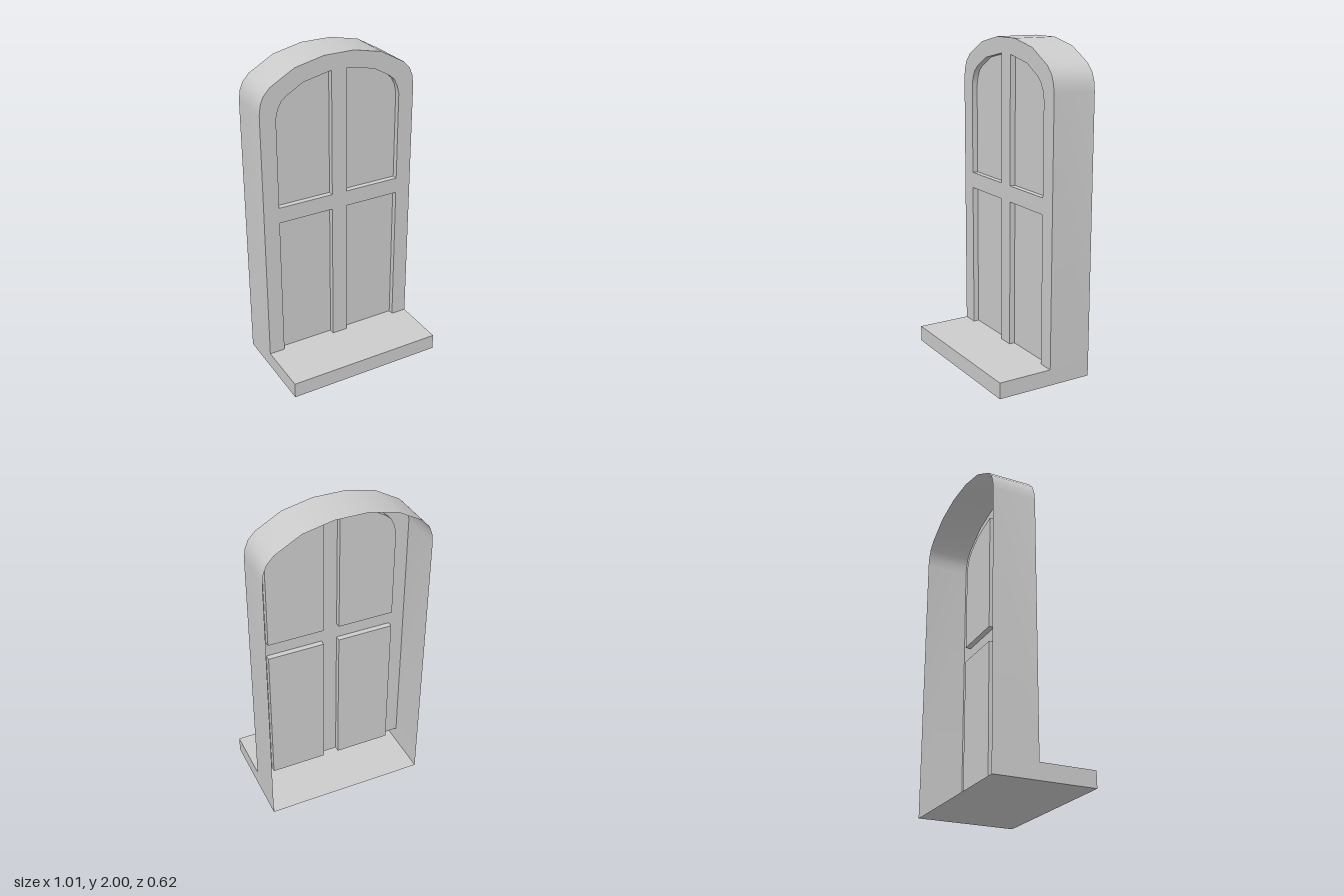
import * as THREE from 'three';
import { toCreasedNormals } from 'three/addons/utils/BufferGeometryUtils.js';

const W = 0.505;       // half width
const SILL = 0.1;      // sill height
const BACK = -0.31, FACE = -0.035, PANE = -0.07, FRONT = 0.31;

const material = new THREE.MeshStandardMaterial({ color: 0xcccccc, side: THREE.DoubleSide });

function part(name, geometry, parent) {
  const mesh = new THREE.Mesh(geometry, material);
  mesh.name = name;
  parent.add(mesh);
  return mesh;
}

const toVectors = (points) => points.map(([x, y]) => new THREE.Vector2(x, y));

// Thin wall: a path in x/y swept from z0 to z1, smooth along gentle bends
function band(points, z0, z1) {
  const position = [], index = [];
  points.forEach(([x, y], i) => {
    position.push(x, y, z0, x, y, z1);
    if (i) {
      const a = 2 * (i - 1);
      index.push(a, a + 2, a + 3, a, a + 3, a + 1);
    }
  });
  const geometry = new THREE.BufferGeometry();
  geometry.setAttribute('position', new THREE.Float32BufferAttribute(position, 3));
  geometry.setIndex(index);
  return toCreasedNormals(geometry, 0.65);
}

// Flat sheet with an outline and optional holes at depth z
function sheet(points, z, holes = []) {
  const shape = new THREE.Shape(toVectors(points));
  holes.forEach((hole) => shape.holes.push(new THREE.Path(toVectors(hole))));
  return new THREE.ShapeGeometry(shape).translate(0, 0, z);
}

const mirror = (points) => points.map(([x, y]) => [-x, y]).reverse();

export function createModel() {
  const model = new THREE.Group();
  model.name = 'archedWindow';

  // Half outlines on the +x side
  const arch = [[W, 1.72], [0.497, 1.78], [0.477, 1.828], [0.435, 1.873], [0.28, 1.96], [0.097, 2]];
  const upper = [[0.05, 1.12], [0.405, 1.12], [0.405, 1.68], [0.393, 1.732],
    [0.37, 1.777], [0.335, 1.807], [0.23, 1.867], [0.05, 1.905]];
  const lower = [[0.05, SILL], [0.405, SILL], [0.405, 1.02], [0.05, 1.02]];
  const fullArch = [...arch, ...mirror(arch)];

  // Outer casing, open at the back
  part('casing', band([[W, 0], ...fullArch, [-W, 0]], BACK, FACE), model);

  // Front frame: lower openings are notches, upper ones are holes
  const notch = [[0.05, SILL], [0.05, 1.02], [0.405, 1.02], [0.405, SILL]];
  const outline = [[W, SILL], ...fullArch, [-W, SILL], ...mirror(notch), ...notch];
  part('frame', sheet(outline, FACE, [upper, mirror(upper)]), model);

  // Sill: bottom, front and top in one sweep along x
  const profile = [[BACK, 0], [FRONT, 0], [FRONT, SILL], [FACE, SILL]];
  part('sill', band(profile, -W, W).rotateY(-Math.PI / 2), model);

  // Recessed panes with their reveals, and the sill ends, on both sides
  for (const side of [1, -1]) {
    const half = new THREE.Group();
    half.name = side > 0 ? 'leftHalf' : 'rightHalf';
    half.scale.x = side;
    for (const [name, points] of [['upper', upper], ['lower', lower]]) {
      part(name + 'Pane', sheet(points, PANE), half);
      part(name + 'Reveal', band([...points, points[0]].reverse(), PANE, FACE), half);
    }
    const end = part('sillEnd', new THREE.PlaneGeometry(FRONT - FACE, SILL), half);
    end.rotation.y = Math.PI / 2;
    end.position.set(W, SILL / 2, (FRONT + FACE) / 2);
    model.add(half);
  }
  return model;
}
